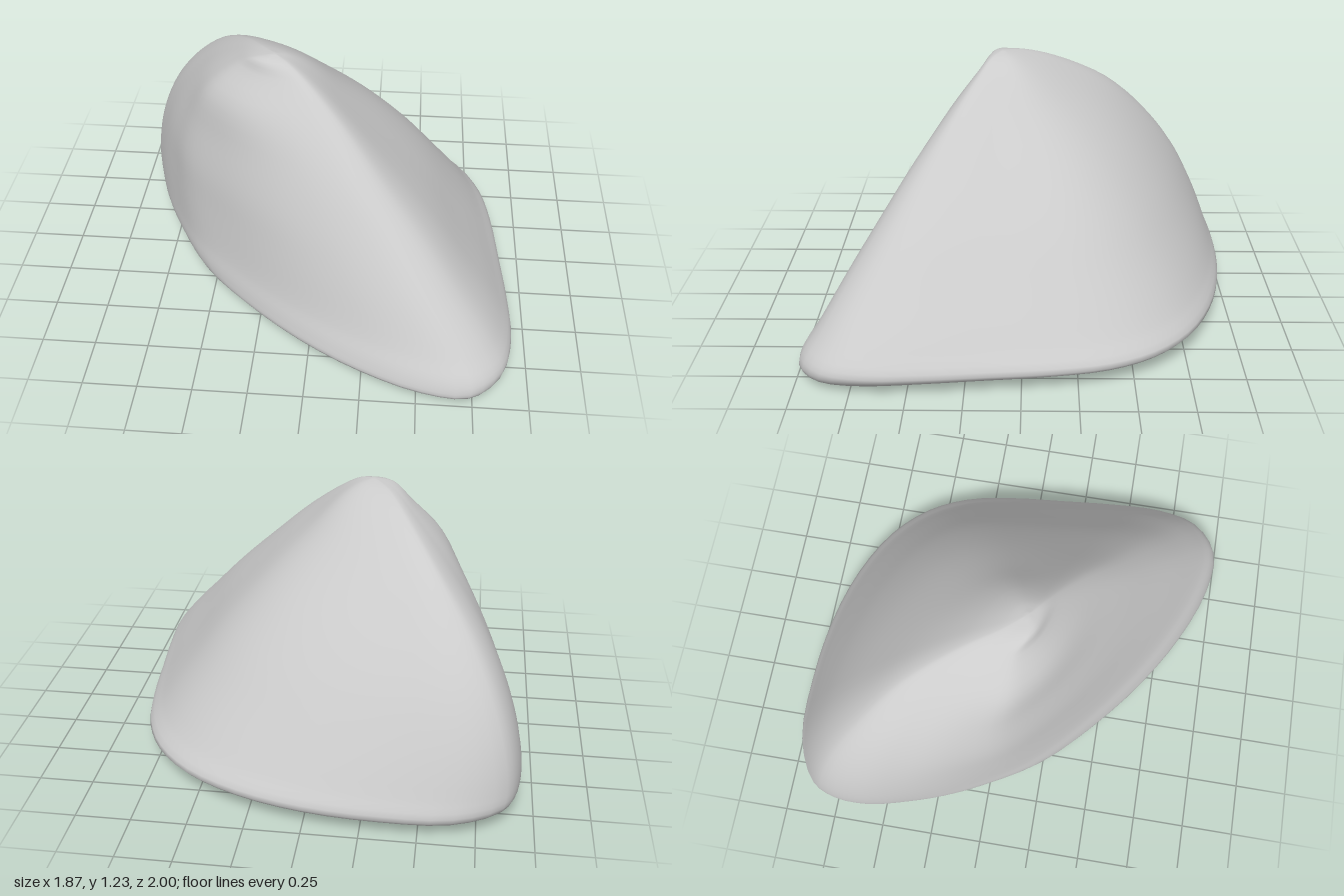
import * as THREE from 'three';
import { mergeVertices } from 'three/addons/utils/BufferGeometryUtils.js';

// Widest outline of the stone in plan (x, z), running back, right, front, left
const OUTLINE = [
  [-0.93, -0.74], [-0.87, -0.87], [-0.66, -0.98], [-0.35, -1.0], [0, -0.97], [0.3, -0.89],
  [0.55, -0.76], [0.72, -0.59], [0.82, -0.39], [0.87, -0.15], [0.9, 0.15], [0.925, 0.43],
  [0.93, 0.68], [0.88, 0.88], [0.74, 0.99], [0.51, 0.97], [0.21, 0.85], [-0.09, 0.67],
  [-0.38, 0.44], [-0.6, 0.22], [-0.74, -0.01], [-0.83, -0.2], [-0.89, -0.38], [-0.935, -0.57],
];

// Rounded triangle at each height: y, back, front and side corner (x, z each),
// then how far the long front-left face swells beyond it
const LEVELS = [
  [0.0, -0.5, -0.42, 0.58, 0.64, 0.3, -0.24, 0.03],
  [0.012, -0.7, -0.59, 0.76, 0.84, 0.49, -0.38, 0.04],
  [0.04, -0.83, -0.7, 0.835, 0.92, 0.64, -0.49, 0.03],
  [0.1, -0.905, -0.78, 0.86, 0.91, 0.74, -0.57, 0],
  [0.2, -0.92, -0.77, 0.805, 0.85, 0.67, -0.54, 0.005],
  [0.4, -0.885, -0.74, 0.64, 0.735, 0.54, -0.45, 0.035],
  [0.6, -0.81, -0.675, 0.475, 0.61, 0.405, -0.36, 0.075],
  [0.8, -0.695, -0.56, 0.295, 0.48, 0.245, -0.255, 0.1],
  [1.0, -0.53, -0.39, 0.115, 0.335, 0.065, -0.12, 0.14],
  [1.15, -0.37, -0.155, -0.05, 0.215, -0.06, 0.0, 0.07],
  [1.21, -0.28, 0.0, -0.135, 0.155, -0.14, 0.06, 0.045],
];
const REF = [-0.92, -0.78, 0.86, 0.92, 0.74, -0.57];

// Weights of a plan point along the two triangle sides leaving the back corner
function weights(x, z) {
  const [ax, az, bx, bz, cx, cz] = REF;
  const ux = bx - ax, uz = bz - az, vx = cx - ax, vz = cz - az;
  const px = x - ax, pz = z - az, det = ux * vz - vx * uz;
  return [(px * vz - vx * pz) / det, (ux * pz - px * uz) / det];
}

// A smooth profile from the base centre, out over the rim and up to the apex
function column(x, z) {
  const [b, c] = weights(x, z);
  const outward = 3.2 * Math.min(c, 0) ** 2;
  const points = LEVELS.map(([y, ax, az, bx, bz, cx, cz, swell]) => new THREE.Vector3(
    ax + b * (bx - ax) + c * (cx - ax) - swell * outward, y,
    az + b * (bz - az) + c * (cz - az) + swell * outward));
  points.unshift(new THREE.Vector3(0.05, 0, 0));
  points.push(new THREE.Vector3(-0.2, 1.23, 0.1));
  return new THREE.CatmullRomCurve3(points);
}

function stoneGeometry(columns = 72, perLevel = 4) {
  const rim = new THREE.CatmullRomCurve3(
    OUTLINE.map(([x, z]) => new THREE.Vector3(x, 0, z)), true);
  const rows = (LEVELS.length + 1) * perLevel;
  const positions = [], index = [];
  for (let i = 0; i < columns; i++) {
    const p = rim.getPoint(i / columns);
    const profile = column(p.x, p.z);
    for (let j = 0; j <= rows; j++) {
      const q = profile.getPoint(j / rows);
      positions.push(q.x, Math.max(q.y, 0), q.z);
    }
  }
  const id = (i, j) => (i % columns) * (rows + 1) + j;
  for (let i = 0; i < columns; i++) {
    for (let j = 0; j < rows; j++) {
      const a = id(i, j), up = id(i, j + 1), next = id(i + 1, j), far = id(i + 1, j + 1);
      // Single triangles close the fans at the base centre and the apex
      if (j < rows - 1) index.push(up, far, next);
      if (j > 0) index.push(a, up, next);
    }
  }
  let geometry = new THREE.BufferGeometry();
  geometry.setAttribute('position', new THREE.Float32BufferAttribute(positions, 3));
  geometry.setIndex(index);
  geometry = mergeVertices(geometry, 1e-5);
  geometry.computeVertexNormals();
  return geometry;
}

export function createModel() {
  const group = new THREE.Group();
  group.name = 'stone';
  const material = new THREE.MeshStandardMaterial({ color: 0xcccccc });
  const body = new THREE.Mesh(stoneGeometry(), material);
  body.name = 'stoneBody';
  group.add(body);
  return group;
}
